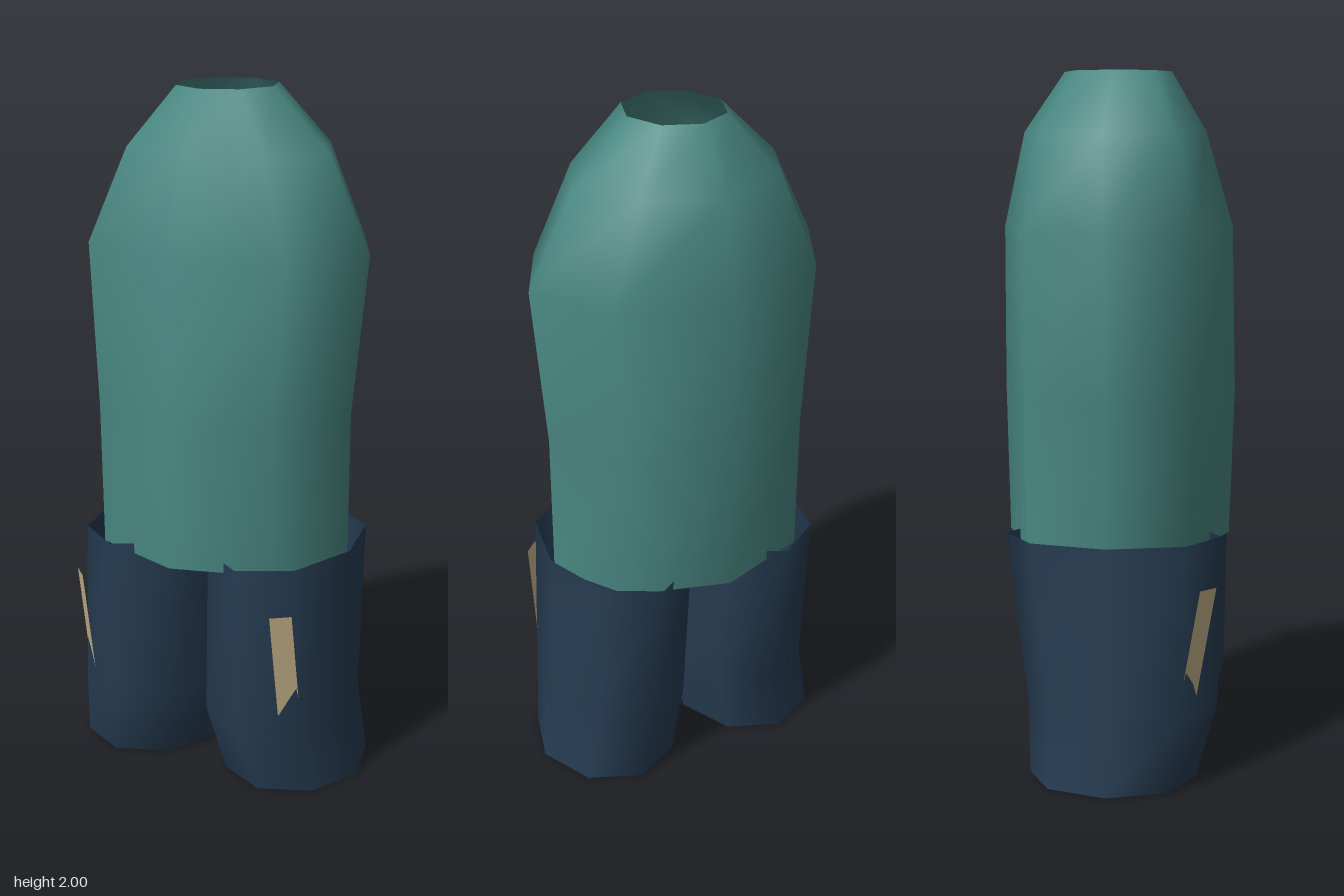
import * as THREE from 'three';

const SIDES = 8;

// Open tube through elliptical rings, listed from bottom to top: [y, centreX, centreZ, radiusX, radiusZ]
function loft(rings) {
  const positions = [];
  const indices = [];
  rings.forEach(([y, cx, cz, rx, rz], i) => {
    for (let j = 0; j < SIDES; j++) {
      const a = (j / SIDES) * Math.PI * 2;
      positions.push(cx + rx * Math.sin(a), y, cz + rz * Math.cos(a));
      if (i === rings.length - 1) continue;
      const k = (j + 1) % SIDES;
      const p = i * SIDES + j;
      const q = i * SIDES + k;
      indices.push(p, q, q + SIDES, p, q + SIDES, p + SIDES);
    }
  });
  const geometry = new THREE.BufferGeometry();
  geometry.setAttribute('position', new THREE.Float32BufferAttribute(positions, 3));
  geometry.setIndex(indices);
  geometry.computeVertexNormals();
  return geometry;
}

// Slanted strip that sinks into the front outer corner of a leg
function strip(side) {
  const inner = 0.317 * side;
  const outer = 0.365 * side;
  const geometry = new THREE.BufferGeometry();
  geometry.setAttribute('position', new THREE.Float32BufferAttribute([
    inner, 0.06, 0.215, outer, 0.06, 0.172,
    outer, 0.572, 0.26, inner, 0.572, 0.303,
  ], 3));
  geometry.setIndex(side > 0 ? [0, 1, 2, 0, 2, 3] : [0, 2, 1, 0, 3, 2]);
  geometry.computeVertexNormals();
  return geometry;
}

export function createModel() {
  const material = (name, color) => {
    const m = new THREE.MeshStandardMaterial({ color, side: THREE.DoubleSide });
    m.name = name;
    return m;
  };
  const teal = material('teal', 0x4a8983);
  const navy = material('navy', 0x263c52);
  const tan = material('tan', 0xcbb68c);

  const model = new THREE.Group();
  const add = (name, geometry, mat) => {
    const mesh = new THREE.Mesh(geometry, mat);
    mesh.name = name;
    model.add(mesh);
  };

  // Torso shell, open at the neck and hem
  add('torso', loft([
    [0.665, 0, 0, 0.403, 0.324],
    [1.09, 0, 0.002, 0.405, 0.336],
    [1.56, 0, -0.003, 0.452, 0.331],
    [1.83, 0, -0.012, 0.317, 0.263],
    [2.0, 0, -0.003, 0.145, 0.154],
  ]), teal);

  // Open legs and their strips, mirrored
  for (const [side, label] of [[1, 'left'], [-1, 'right']]) {
    add(`${label}Leg`, loft([
      [0, 0.248 * side, 0.005, 0.208, 0.24],
      [0.205, 0.213 * side, 0.03, 0.215, 0.273],
      [0.695, 0.21 * side, 0.003, 0.203, 0.308],
    ]), navy);
    add(`${label}LegStrip`, strip(side), tan);
  }
  return model;
}
